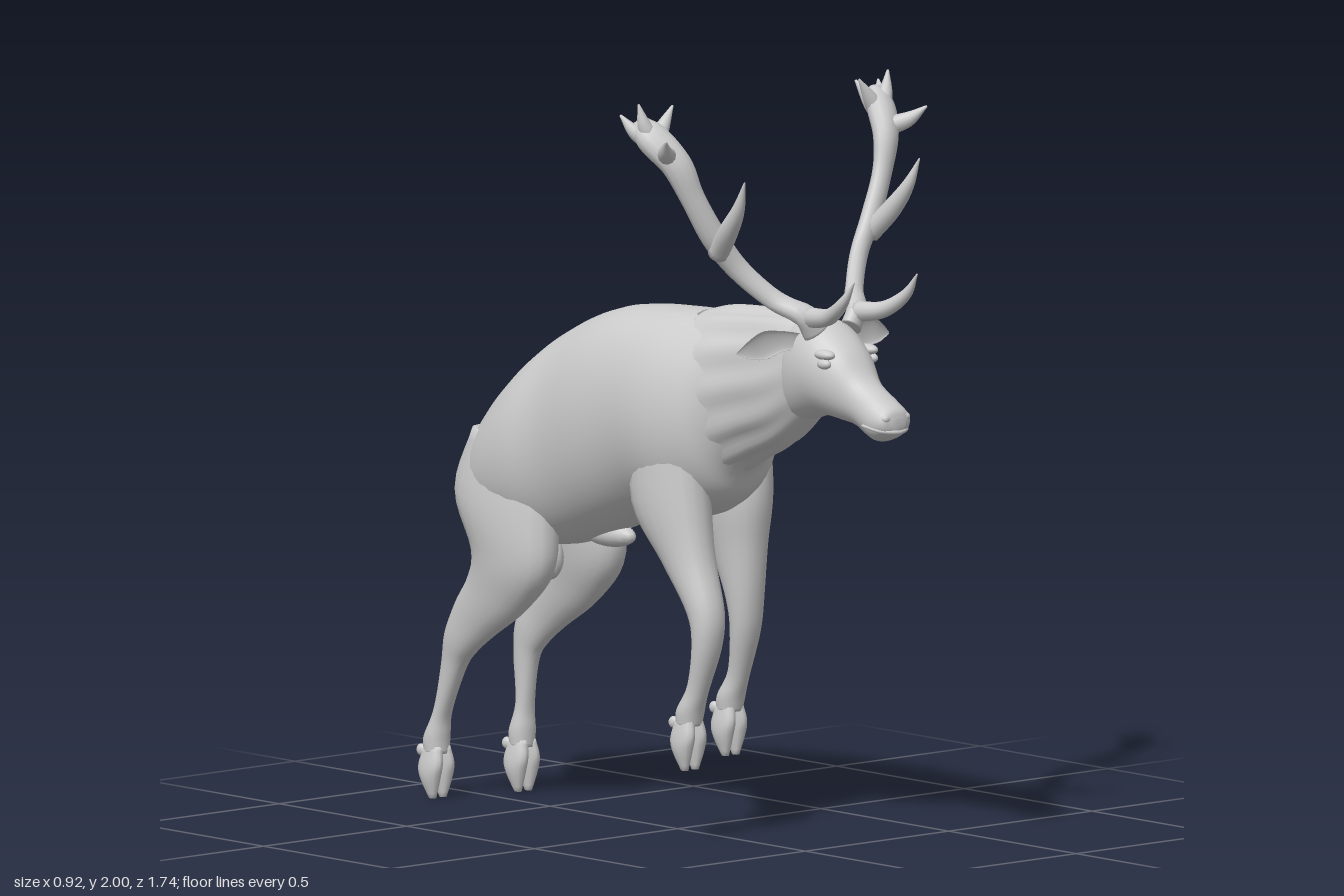
import * as THREE from 'three';

const V = (x, y, z) => new THREE.Vector3(x, y, z);
const material = new THREE.MeshStandardMaterial({ color: 0xcccccc });

function add(parent, name, geometry) {
  const mesh = new THREE.Mesh(geometry, material);
  mesh.name = name;
  parent.add(mesh);
  return mesh;
}

// Closed smooth skin over rings of equal point count, capped at both ends
function skin(rings) {
  const n = rings[0].length, m = rings.length, pos = [], idx = [];
  rings.forEach(r => r.forEach(p => pos.push(p.x, p.y, p.z)));
  for (let i = 0; i < m - 1; i++) {
    for (let j = 0; j < n; j++) {
      const a = i * n + j, b = i * n + (j + 1) % n;
      idx.push(a, a + n, b, b, a + n, b + n);
    }
  }
  [0, m - 1].forEach((row, k) => {
    const c = rings[row].reduce((s, p) => s.add(p), V(0, 0, 0)).divideScalar(n);
    pos.push(c.x, c.y, c.z);
    for (let j = 0; j < n; j++) {
      const a = row * n + j, b = row * n + (j + 1) % n;
      if (k === 0) idx.push(m * n, a, b); else idx.push(m * n + 1, b, a);
    }
  });
  const g = new THREE.BufferGeometry();
  g.setAttribute('position', new THREE.Float32BufferAttribute(pos, 3));
  g.setIndex(idx);
  g.computeVertexNormals();
  return g;
}

// Loft over sections [z1, y1, z2, y2, halfWidth, x]: two opposite outline points and a width
function loft(sections, { sides = 28, steps = 5, ripple = 0 } = {}) {
  const curve = f => new THREE.CatmullRomCurve3(sections.map(f), false, 'catmullrom', 0.5);
  const A = curve(s => V(0, s[1], s[0])), B = curve(s => V(0, s[3], s[2]));
  const W = curve(s => V(s[4], s[5] || 0, 0));
  const count = (sections.length - 1) * steps, rings = [];
  for (let i = 0; i <= count; i++) {
    const t = i / count, a = A.getPoint(t), b = B.getPoint(t), w = W.getPoint(t);
    const mid = a.clone().add(b).multiplyScalar(0.5), half = a.sub(b).multiplyScalar(0.5);
    rings.push(Array.from({ length: sides }, (_, j) => {
      const q = j / sides * Math.PI * 2;
      const k = 1 + ripple * Math.cos(12 * q) * Math.sin(Math.PI * t);
      const c = Math.sign(Math.cos(q)) * Math.abs(Math.cos(q)) ** 0.9;
      return mid.clone().addScaledVector(half, Math.sin(q) * k).add(V(w.y + w.x * c * k, 0, 0));
    }));
  }
  return skin(rings);
}

// Tapering branch through points [x, y, z, radius]; flat and cup shape its two faces
function branch(points, { ref = V(1, 0, -0.5), flat = 1, cup = flat, sides = 12 } = {}) {
  const path = new THREE.CatmullRomCurve3(points.map(p => V(p[0], p[1], p[2])), false, 'catmullrom', 0.5);
  const radius = new THREE.CatmullRomCurve3(points.map(p => V(p[3], 0, 0)), false, 'catmullrom', 0.5);
  const count = (points.length - 1) * 6, rings = [];
  for (let i = 0; i <= count; i++) {
    const c = path.getPoint(i / count), t = path.getTangent(i / count), r = radius.getPoint(i / count).x;
    const n = ref.clone().addScaledVector(t, -ref.dot(t)).normalize(), b = n.clone().cross(t);
    rings.push(Array.from({ length: sides }, (_, j) => {
      const q = j / sides * Math.PI * 2, s = Math.sin(q);
      return c.clone().addScaledVector(n, Math.cos(q) * r).addScaledVector(b, s * r * (s < 0 ? cup : flat));
    }));
  }
  return skin(rings);
}

function ellipsoid(parent, name, [x, y, z], [a, b, c]) {
  const mesh = add(parent, name, new THREE.SphereGeometry(1, 16, 12));
  mesh.position.set(x, y, z);
  mesh.scale.set(a, b, c);
}

// Cloven foot hanging from the fetlock: two toes and two dewclaws
function foot(parent, name, x, y, z) {
  const g = new THREE.Group();
  g.name = name;
  g.position.set(x, y, z);
  for (const s of [-1, 1]) {
    add(g, 'toe', loft([
      [-0.033, 0.01, 0.03, 0.02, 0.018, s * 0.014], [-0.045, -0.035, 0.04, -0.025, 0.021, s * 0.02],
      [-0.034, -0.07, 0.03, -0.065, 0.02, s * 0.021], [-0.008, -0.118, 0.014, -0.118, 0.008, s * 0.018],
    ], { sides: 14, steps: 4 }));
    ellipsoid(g, 'dewclaw', [s * 0.018, 0.005, -0.04], [0.011, 0.016, 0.016]);
  }
  parent.add(g);
}

const FORELEG = [
  [-0.02, 1.1, 0.2, 1.15, 0.06, 0.115], [-0.03, 0.88, 0.22, 0.92, 0.08, 0.11],
  [0.035, 0.73, 0.2, 0.76, 0.063, 0.112], [0.085, 0.61, 0.185, 0.62, 0.05, 0.115],
  [0.095, 0.53, 0.168, 0.52, 0.042, 0.118], [0.075, 0.42, 0.128, 0.4, 0.03, 0.122],
  [0.035, 0.35, 0.11, 0.35, 0.037, 0.122], [0.033, 0.31, 0.1, 0.31, 0.034, 0.122],
];
const HINDLEG = [
  [-0.67, 1.0, -0.38, 1.0, 0.07, 0.1], [-0.72, 0.84, -0.36, 0.78, 0.085, 0.115],
  [-0.65, 0.69, -0.37, 0.64, 0.073, 0.122], [-0.665, 0.61, -0.47, 0.53, 0.055, 0.125],
  [-0.72, 0.53, -0.59, 0.45, 0.042, 0.125], [-0.76, 0.45, -0.655, 0.4, 0.037, 0.123],
  [-0.765, 0.36, -0.69, 0.35, 0.03, 0.12], [-0.755, 0.24, -0.71, 0.23, 0.027, 0.12],
  [-0.778, 0.16, -0.71, 0.17, 0.036, 0.12], [-0.775, 0.12, -0.712, 0.12, 0.034, 0.12],
];

// A leg on one side, its lower part swung along z below height y0
function leg(parent, name, sections, side, swing, y0, range) {
  const shift = y => swing * THREE.MathUtils.smoothstep(y0 - y, 0, range);
  const moved = sections.map(([z1, y1, z2, y2, w, x]) => [z1 + shift(y1), y1, z2 + shift(y2), y2, w, x * side]);
  add(parent, name, loft(moved, { sides: 20 }));
  const e = moved[moved.length - 1];
  foot(parent, name + 'Foot', e[5], e[1], (e[0] + e[2]) / 2);
}

function antler(parent, s) {
  const g = new THREE.Group();
  g.name = s > 0 ? 'leftAntler' : 'rightAntler';
  const piece = (name, pts, flat = 1) =>
    add(g, name, branch(pts.map(p => [p[0] * s, p[1], p[2], p[3]]), { flat, ref: V(s, 0, -0.5) }));
  piece('beam', [
    [0.06, 1.39, 0.61, 0.036], [0.09, 1.435, 0.6, 0.033], [0.14, 1.475, 0.535, 0.029],
    [0.21, 1.555, 0.475, 0.03], [0.275, 1.645, 0.45, 0.034], [0.33, 1.75, 0.43, 0.033],
    [0.365, 1.84, 0.405, 0.042], [0.4, 1.91, 0.345, 0.045], [0.41, 1.95, 0.31, 0.02],
  ], 0.75);
  piece('browTine', [[0.08, 1.43, 0.61, 0.028], [0.095, 1.445, 0.7, 0.022], [0.11, 1.49, 0.77, 0.015], [0.11, 1.55, 0.815, 0.002]]);
  piece('middleTine', [[0.265, 1.6, 0.455, 0.028], [0.285, 1.67, 0.52, 0.026], [0.295, 1.735, 0.57, 0.017], [0.305, 1.81, 0.605, 0.002]]);
  // Crown tines fan out from the palm
  const tips = [[0.455, 1.915, 0.465], [0.45, 1.965, 0.28], [0.375, 1.97, 0.275], [0.325, 1.985, 0.345], [0.435, 1.998, 0.335]];
  tips.forEach(([x, y, z], i) => {
    const r = i === 0 ? [0.38, 1.86, 0.39] : [0.39, 1.89, 0.35];
    piece('crownTine', [[...r, 0.026], [(x + r[0]) / 2 + 0.006, (y + r[1]) / 2 - 0.008, (z + r[2]) / 2, 0.02], [x, y, z, 0.003]]);
  });
  parent.add(g);
}

export function createModel() {
  const model = new THREE.Group();
  model.name = 'deer';

  // Neck, barrel and rump
  add(model, 'body', loft([
    [0.56, 1.40, 0.54, 1.18, 0.07], [0.5, 1.415, 0.46, 1.11, 0.093], [0.38, 1.41, 0.36, 1.05, 0.108],
    [0.26, 1.4, 0.275, 0.98, 0.133], [0.14, 1.39, 0.23, 0.9, 0.18], [0.04, 1.385, 0.12, 0.84, 0.205],
    [-0.1, 1.375, -0.04, 0.83, 0.202], [-0.22, 1.35, -0.2, 0.77, 0.2], [-0.36, 1.29, -0.34, 0.72, 0.192],
    [-0.48, 1.21, -0.45, 0.7, 0.208], [-0.6, 1.1, -0.53, 0.7, 0.195], [-0.7, 0.98, -0.6, 0.7, 0.16],
    [-0.76, 0.87, -0.66, 0.69, 0.11], [-0.78, 0.8, -0.72, 0.72, 0.05], [-0.77, 0.76, -0.75, 0.75, 0.01],
  ], { sides: 40 }));

  // Folded coat around the neck
  add(model, 'mane', loft([
    [0.54, 1.415, 0.55, 1.16, 0.08], [0.45, 1.42, 0.44, 1.07, 0.105], [0.33, 1.415, 0.34, 1.02, 0.122],
    [0.22, 1.407, 0.27, 0.98, 0.143], [0.13, 1.39, 0.24, 0.95, 0.16],
  ], { sides: 72, ripple: 0.03 }));

  // Head with muzzle, eyes, nostrils and ears
  add(model, 'head', loft([
    [0.868, 1.185, 0.868, 1.155, 0.02], [0.858, 1.21, 0.85, 1.135, 0.05], [0.82, 1.235, 0.8, 1.12, 0.06],
    [0.75, 1.28, 0.73, 1.15, 0.06], [0.69, 1.355, 0.67, 1.16, 0.083], [0.61, 1.412, 0.6, 1.165, 0.102],
    [0.53, 1.42, 0.52, 1.14, 0.095], [0.46, 1.4, 0.46, 1.12, 0.07],
  ]));
  add(model, 'mouth', branch([[-0.06, 1.165, 0.79, 0.004], [-0.045, 1.155, 0.845, 0.006], [0, 1.15, 0.866, 0.006],
    [0.045, 1.155, 0.845, 0.006], [0.06, 1.165, 0.79, 0.004]], { ref: V(0, 1, 0) }));
  for (const s of [-1, 1]) {
    ellipsoid(model, 'eye', [s * 0.082, 1.315, 0.665], [0.014, 0.014, 0.024]);
    ellipsoid(model, 'brow', [s * 0.075, 1.338, 0.66], [0.02, 0.014, 0.035]);
    ellipsoid(model, 'nostril', [s * 0.034, 1.187, 0.853], [0.014, 0.012, 0.012]);
    add(model, s > 0 ? 'leftEar' : 'rightEar', branch([
      [s * 0.07, 1.36, 0.56, 0.022], [s * 0.125, 1.365, 0.55, 0.028], [s * 0.18, 1.36, 0.545, 0.038],
      [s * 0.225, 1.352, 0.54, 0.026], [s * 0.265, 1.345, 0.53, 0.003],
    ], { ref: V(0, s, 0), flat: 0.7, cup: -0.25, sides: 20 }));
    antler(model, s);
  }

  // Legs, right pair swung apart
  leg(model, 'leftForeleg', FORELEG, 1, 0, 0.9, 0.3);
  leg(model, 'rightForeleg', FORELEG, -1, 0.115, 0.92, 0.38);
  leg(model, 'leftHindleg', HINDLEG, 1, 0, 0.4, 0.25);
  leg(model, 'rightHindleg', HINDLEG, -1, -0.065, 0.45, 0.3);

  // Tail and underside
  add(model, 'tail', branch([[0, 0.88, -0.75, 0.03], [0, 0.82, -0.775, 0.028], [0, 0.75, -0.772, 0.026], [0, 0.705, -0.72, 0.008]]));
  ellipsoid(model, 'sheath', [0, 0.75, -0.27], [0.035, 0.035, 0.1]);
  ellipsoid(model, 'scrotum', [0, 0.66, -0.5], [0.032, 0.06, 0.04]);
  return model;
}
